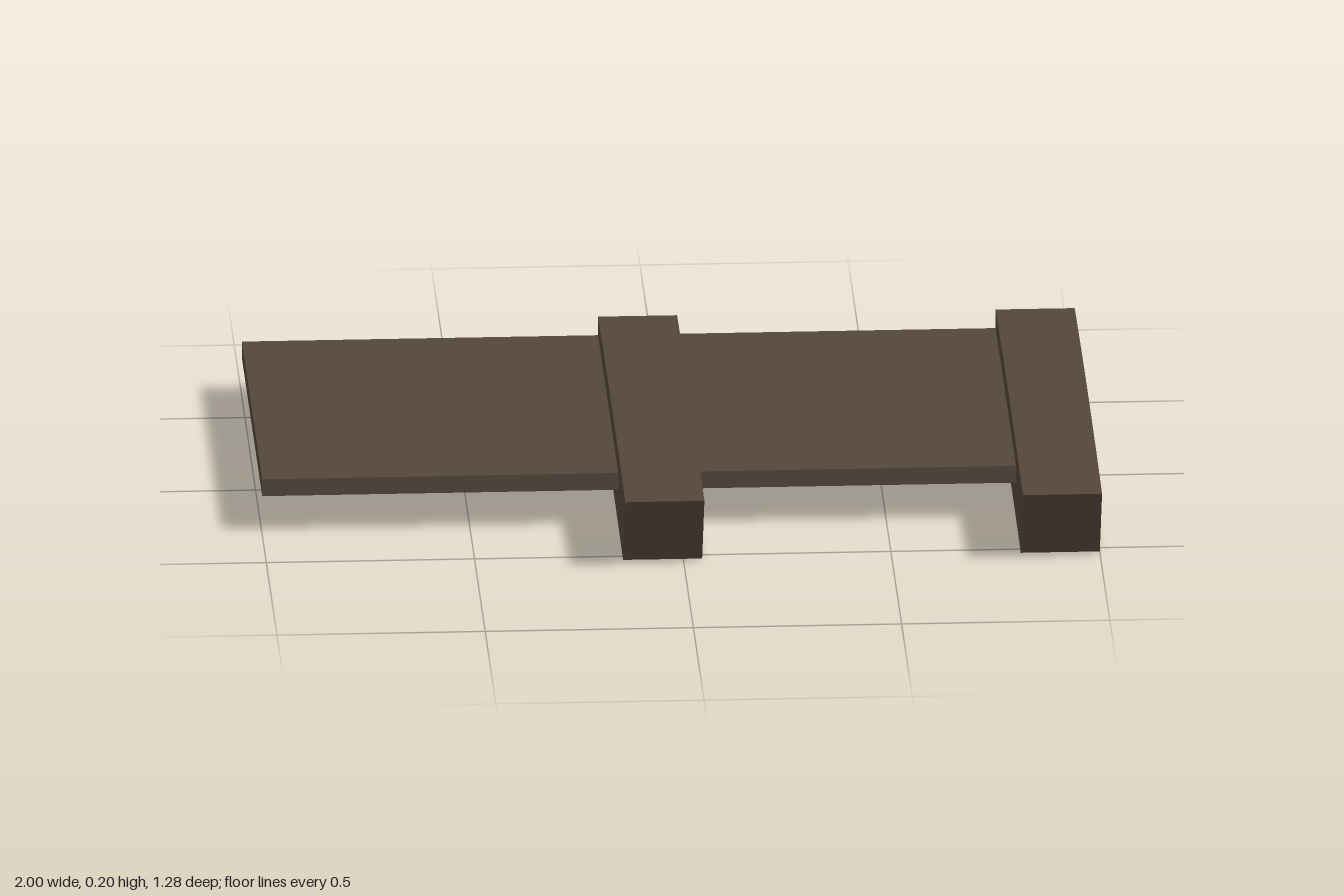
import * as THREE from 'three';

export function createModel() {
  const model = new THREE.Group();
  const wood = new THREE.MeshStandardMaterial({ color: 0x54463a });
  wood.name = 'dark brown wood';

  // Slightly cambered beam profile (z, y) with a raked front end
  const topY = (z) => 0.202 - 0.012 * (z / 0.64) ** 2;
  const steps = 8;
  const points = [];
  for (let i = 0; i <= steps; i++) {
    const z = -0.64 + (1.175 * i) / steps;
    points.push(new THREE.Vector2(z, topY(z) - 0.19));
  }
  for (let i = 0; i <= steps; i++) {
    const z = 0.64 - (1.28 * i) / steps;
    points.push(new THREE.Vector2(z, topY(z)));
  }
  const profile = new THREE.Shape(points);

  const width = 0.19;
  const beamGeometry = new THREE.ExtrudeGeometry(profile, { depth: width, bevelEnabled: false });
  beamGeometry.rotateY(-Math.PI / 2);

  // Beams, placed by their left (+x) face
  for (const [name, x] of [['middleBeam', 0.045], ['leftBeam', 1]]) {
    const beam = new THREE.Mesh(beamGeometry, wood);
    beam.name = name;
    beam.position.x = x;
    model.add(beam);
  }

  // Thin boards running up to each beam
  for (const [name, x0, x1] of [['rightBoard', -1, -0.145], ['leftBoard', 0.045, 0.81]]) {
    const board = new THREE.Mesh(new THREE.BoxGeometry(x1 - x0, 0.043, 0.95), wood);
    board.name = name;
    board.position.set((x0 + x1) / 2, 0.121, -0.165);
    model.add(board);
  }
  return model;
}
